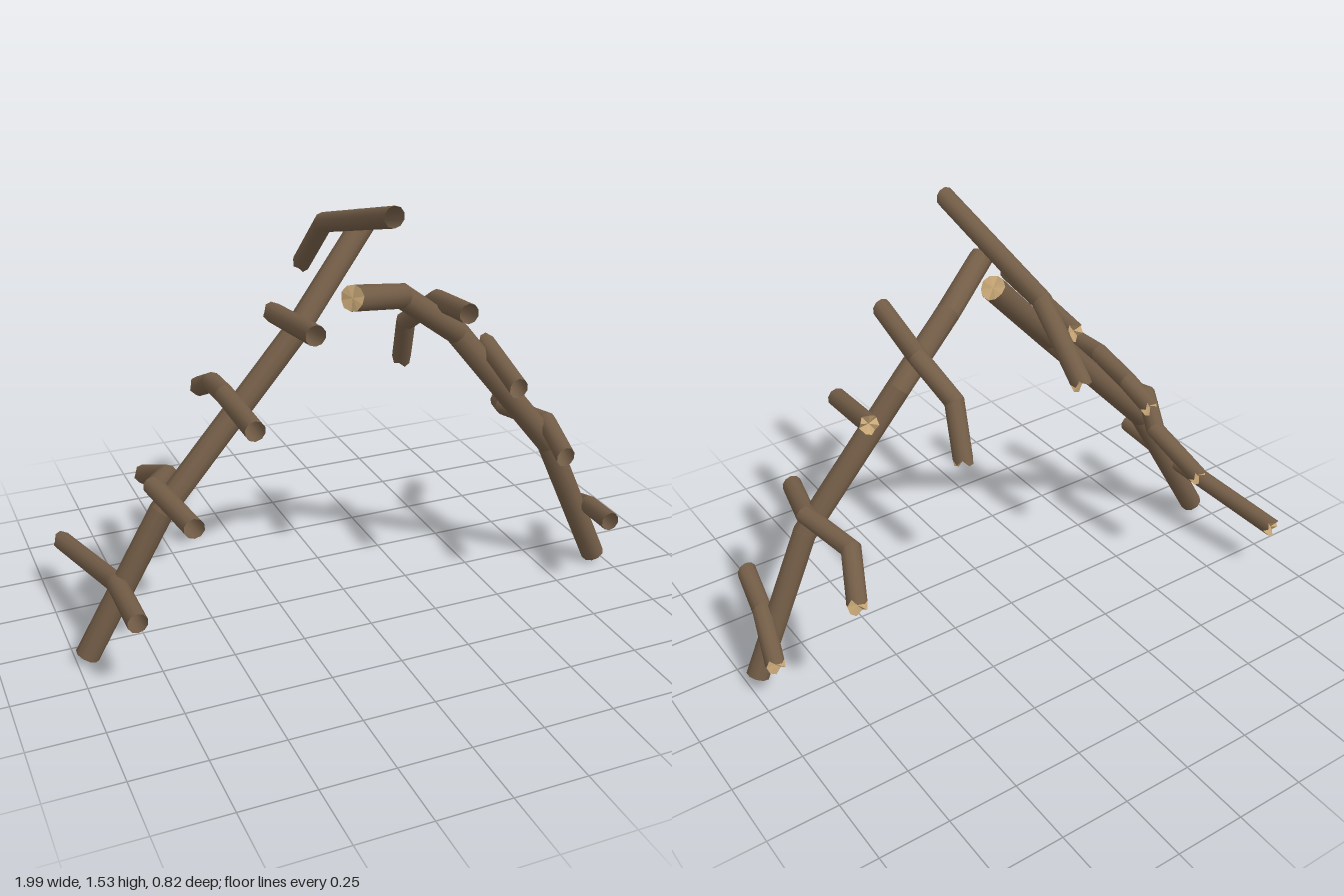
import * as THREE from 'three';

const SIDES = 10;
const bark = new THREE.MeshStandardMaterial({ color: 0x735d47, side: THREE.DoubleSide });
bark.name = 'bark';
const wood = new THREE.MeshStandardMaterial({ color: 0xc8a777, side: THREE.DoubleSide });
wood.name = 'bare wood';

function geometryFrom(points, index) {
  const g = new THREE.BufferGeometry();
  g.setAttribute('position', new THREE.Float32BufferAttribute(points.flatMap(p => p.toArray()), 3));
  g.setIndex(index);
  g.computeVertexNormals();
  return g;
}

// Slide points along a direction until they lie on the plane through a centre
function slide(ring, dir, centre, normal) {
  return ring.map(p => {
    const t = centre.clone().sub(p).dot(normal) / dir.dot(normal);
    return p.clone().addScaledVector(dir, t);
  });
}

// A bent stick with mitred joints, an open start and a broken far end
function stick(name, coords, radius, startNormal, jag) {
  const group = new THREE.Group();
  group.name = name;
  const path = coords.map(c => new THREE.Vector3(...c));
  const dirs = path.slice(1).map((p, i) => p.clone().sub(path[i]).normalize());
  const u = new THREE.Vector3(0, 0, 1);
  if (Math.abs(dirs[0].z) > 0.7) u.set(0, 1, 0);
  u.addScaledVector(dirs[0], -u.dot(dirs[0])).normalize();
  const v = dirs[0].clone().cross(u);
  let ring = [];
  for (let i = 0; i < SIDES; i++) {
    const a = (i / SIDES) * Math.PI * 2;
    ring.push(path[0].clone().addScaledVector(u, Math.cos(a) * radius).addScaledVector(v, Math.sin(a) * radius));
  }
  if (startNormal) ring = slide(ring, dirs[0], path[0], startNormal);

  dirs.forEach((dir, s) => {
    const last = s === dirs.length - 1;
    const normal = last ? dir : dir.clone().add(dirs[s + 1]).normalize();
    const next = slide(ring, dir, path[s + 1], normal);
    // Splintered rim
    if (last) next.forEach((p, i) => p.addScaledVector(dir, jag * [0.8, -0.6, 0.3, -1, 0.5][i % 5]));
    const index = [];
    for (let i = 0; i < SIDES; i++) {
      const j = (i + 1) % SIDES;
      index.push(i, j, SIDES + i, j, SIDES + j, SIDES + i);
    }
    const mesh = new THREE.Mesh(geometryFrom([...ring, ...next], index), bark);
    mesh.name = 'barkSection';
    group.add(mesh);
    ring = next;
  });

  // Bare wood face inside the broken end
  const end = path[path.length - 1].clone().addScaledVector(dirs[dirs.length - 1], -jag * 0.5);
  const fan = [];
  for (let i = 0; i < SIDES; i++) fan.push(SIDES, i, (i + 1) % SIDES);
  const face = new THREE.Mesh(geometryFrom([...ring, end], fan).toNonIndexed(), wood);
  face.geometry.computeVertexNormals();
  face.name = 'brokenEnd';
  group.add(face);
  return group;
}

export function createModel() {
  const model = new THREE.Group();
  model.name = 'branchFrame';

  // Two leaning poles that cross at the top
  model.add(stick('rightPole', [
    [-0.963, 0.03, 0.09], [-0.69, 0.53, 0.12], [-0.2, 1.05, 0.06], [0.115, 1.38, -0.065],
  ], 0.042, null, 0.004));
  model.add(stick('leftPole', [
    [0.96, 0.035, 0.16], [0.725, 0.54, 0.175], [0.36, 1.0, 0.135], [0.12, 1.18, 0.2], [-0.125, 1.255, 0.365],
  ], 0.042, null, 0.004));

  // Ridge and cross branches, all cut flush at the front
  const branches = {
    ridgeBranch: [[0, 1.5, 0.39], [0, 1.345, -0.17], [0, 1.145, -0.385]],
    rightBranch1: [[-0.855, 0.3, 0.39], [-0.85, 0.285, 0.1], [-0.93, 0.21, -0.395]],
    rightBranch2: [[-0.66, 0.59, 0.39], [-0.71, 0.62, 0.12], [-0.625, 0.575, -0.04], [-0.65, 0.48, -0.265]],
    rightBranch3: [[-0.455, 0.88, 0.39], [-0.455, 0.89, 0.1], [-0.442, 0.865, -0.08], [-0.455, 0.81, -0.195]],
    rightBranch4: [[-0.255, 1.16, 0.39], [-0.24, 1.1, -0.03]],
    leftBranch4: [[0.265, 1.16, 0.39], [0.3, 1.115, 0.1], [0.252, 1.0, -0.04], [0.282, 0.825, -0.135]],
    leftBranch3: [[0.46, 0.875, 0.39], [0.495, 0.93, 0.095]],
    leftBranch2: [[0.66, 0.59, 0.39], [0.72, 0.62, 0.16], [0.675, 0.6, -0.065], [0.765, 0.535, -0.26]],
    leftBranch1: [[0.865, 0.3, 0.39], [0.9, 0.27, 0.2], [0.955, 0.19, 0]],
  };
  const flush = new THREE.Vector3(0, 0, 1);
  for (const [name, path] of Object.entries(branches)) {
    model.add(stick(name, path, 0.034, flush, 0.015));
  }
  return model;
}
